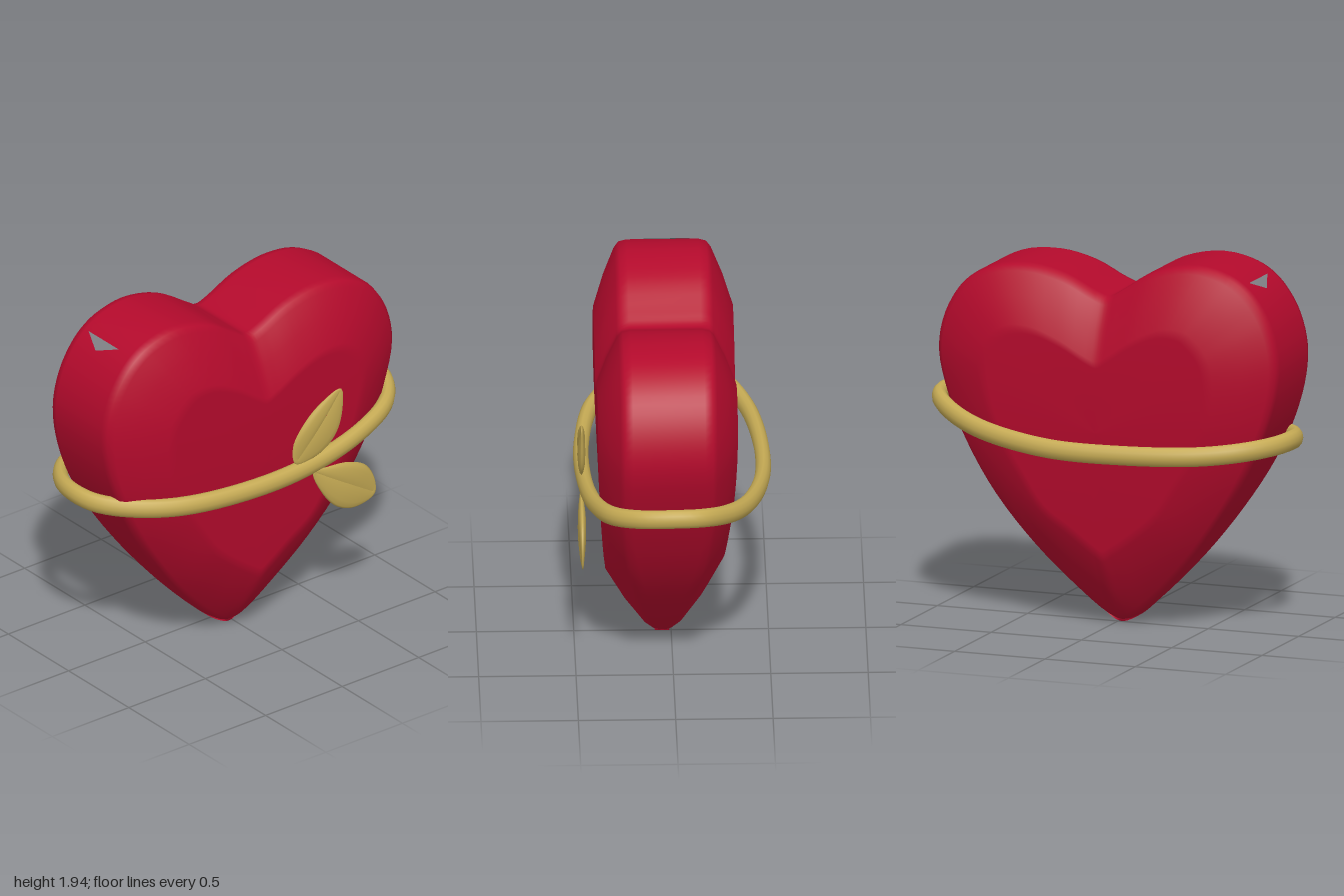
import * as THREE from 'three';

const red = new THREE.MeshStandardMaterial({ color: 0xb40a2c });
red.name = 'heart red';
const gold = new THREE.MeshStandardMaterial({ color: 0xc5aa54 });
gold.name = 'soft gold';
const grey = new THREE.MeshStandardMaterial({ color: 0x808185, side: THREE.DoubleSide });
grey.name = 'grey';

// Skins a list of closed rings, ordered front to back, counter-clockwise seen from +z
function loft(rings) {
  const n = rings[0].length, index = [];
  for (let i = 0; i < rings.length - 1; i++) {
    for (let j = 0; j < n; j++) {
      const k = (j + 1) % n;
      const a = i * n + j, b = i * n + k, c = a + n, d = b + n;
      index.push(a, c, d, a, d, b);
    }
  }
  const geo = new THREE.BufferGeometry().setFromPoints(rings.flat());
  geo.setIndex(index);
  geo.computeVertexNormals();
  return geo;
}

// Smooth closed outline through [x, y] points
function outline(points, count) {
  const pts = points.map(([x, y]) => new THREE.Vector3(x, y, 0));
  const curve = new THREE.CatmullRomCurve3(pts, true, 'centripetal');
  return Array.from({ length: count }, (_, i) => curve.getPoint(i / count));
}

function part(name, geometry, material) {
  const mesh = new THREE.Mesh(geometry, material);
  mesh.name = name;
  return mesh;
}

// Outer rim x, y and the matching point of the flat face x, y
const heartPoints = [
  [-0.015, 0.003, -0.01, 0.37], [0.06, 0.035, 0.04, 0.4], [0.21, 0.165, 0.17, 0.5],
  [0.42, 0.385, 0.32, 0.61], [0.62, 0.65, 0.44, 0.8], [0.77, 0.925, 0.55, 1.0],
  [0.865, 1.16, 0.61, 1.17], [0.92, 1.4, 0.64, 1.36], [0.885, 1.6, 0.61, 1.47],
  [0.785, 1.76, 0.54, 1.55], [0.62, 1.86, 0.46, 1.58], [0.42, 1.885, 0.35, 1.575],
  [0.22, 1.845, 0.2, 1.52], [0.05, 1.765, 0.05, 1.44], [-0.02, 1.745, -0.01, 1.42],
  [-0.1, 1.79, -0.08, 1.46], [-0.28, 1.9, -0.21, 1.55], [-0.5, 1.945, -0.38, 1.62],
  [-0.68, 1.908, -0.5, 1.61], [-0.78, 1.848, -0.54, 1.58], [-0.855, 1.765, -0.58, 1.54],
  [-0.92, 1.645, -0.62, 1.48], [-0.957, 1.49, -0.64, 1.4], [-0.95, 1.33, -0.64, 1.28],
  [-0.895, 1.12, -0.61, 1.12], [-0.785, 0.87, -0.54, 0.95], [-0.62, 0.605, -0.43, 0.77],
  [-0.42, 0.345, -0.32, 0.61], [-0.21, 0.125, -0.17, 0.48], [-0.085, 0.025, -0.06, 0.4],
];

function heartGeometry() {
  const count = heartPoints.length * 4;
  const outer = outline(heartPoints.map(p => [p[0], p[1]]), count);
  const inner = outline(heartPoints.map(p => [p[2], p[3]]), count);
  const centre = new THREE.Vector3(0, 1.05, 0);
  // Depth of the flat faces and of the rim, both slimmer towards the tip
  const face = (y, s) => {
    const t = Math.sin(Math.min(1, Math.max(0, (y - 0.37) / 1.15)) * Math.PI / 2);
    return s > 0 ? 0.34 + 0.05 * t : -0.24 - 0.09 * t;
  };
  const rim = (y, s) => {
    const t = 0.12 + 0.88 * Math.sin(Math.min(1, y / 1.15) * Math.PI / 2);
    return s > 0 ? 0.05 + 0.2 * t : 0.05 - 0.24 * t;
  };
  const cap = (scale, s) => inner.map(p => {
    const v = centre.clone().lerp(p, scale);
    v.z = face(v.y, s);
    return v;
  });
  const bevel = (k, kz, s) => inner.map((p, i) => {
    const v = p.clone().lerp(outer[i], k);
    v.z = THREE.MathUtils.lerp(face(p.y, s), rim(outer[i].y, s), kz);
    return v;
  });
  const half = s => [cap(0, s), cap(0.5, s), cap(0.93, s), bevel(0.03, 0.01, s),
    bevel(0.5, 0.39, s), bevel(0.88, 0.79, s), bevel(0.97, 0.96, s), bevel(1, 1.25, s)];
  return loft([...half(1), ...half(-1).reverse()]);
}

// Leaf with a shallow midrib, thinning towards base and tip
function leafGeometry(points, base, tip, z) {
  const edge = outline(points, 48);
  const axis = new THREE.Line3(new THREE.Vector3(...base, 0), new THREE.Vector3(...tip, 0));
  const ring = (k, dz) => edge.map(p => {
    const u = axis.closestPointToPointParameter(p, true);
    const v = axis.at(u, new THREE.Vector3()).lerp(p, k);
    v.z = z + dz * (0.25 + 0.75 * Math.sin(Math.PI * u));
    return v;
  });
  return loft([ring(0, 0.013), ring(0.3, 0.021), ring(0.7, 0.017), ring(0.92, 0.01), ring(1, 0),
    ring(0.92, -0.01), ring(0.7, -0.017), ring(0.3, -0.021), ring(0, -0.018)]);
}

// Band path: x, y, z around the heart
const bandPath = [
  [-0.96, 1.03, 0], [-0.93, 1.02, 0.13], [-0.82, 1.01, 0.265], [-0.59, 0.995, 0.395],
  [-0.2, 0.98, 0.457], [0.2, 0.985, 0.452], [0.58, 1.035, 0.402], [0.82, 1.09, 0.315],
  [0.93, 1.125, 0.18], [0.96, 1.14, 0], [0.93, 1.13, -0.14], [0.79, 1.08, -0.275],
  [0.58, 1.03, -0.38], [0.2, 0.985, -0.463], [-0.2, 0.98, -0.463], [-0.58, 0.99, -0.4],
  [-0.8, 1.01, -0.3], [-0.925, 1.025, -0.15],
];

function bandGeometry() {
  const stretch = 1.3; // the band is taller than it is deep
  const path = bandPath.map(([x, y, z]) => new THREE.Vector3(x, y / stretch, z));
  const curve = new THREE.CatmullRomCurve3(path, true);
  return new THREE.TubeGeometry(curve, 120, 0.04, 12, true).scale(1, stretch, 1);
}

export function createModel() {
  const model = new THREE.Group();
  model.name = 'wrappedHeart';
  model.add(part('heart', heartGeometry(), red));
  model.add(part('band', bandGeometry(), gold));

  const upper = [[0.2, 1.03], [0.3, 1.06], [0.38, 1.13], [0.42, 1.25], [0.41, 1.38],
    [0.27, 1.33], [0.17, 1.25], [0.1, 1.15], [0.11, 1.04]];
  const lower = [[0.23, 0.95], [0.28, 0.82], [0.38, 0.7], [0.5, 0.655], [0.63, 0.69],
    [0.63, 0.78], [0.57, 0.88], [0.45, 0.935], [0.33, 0.95]];
  model.add(part('upperLeaf', leafGeometry(upper, [0.13, 1.06], [0.4, 1.365], 0.468), gold));
  model.add(part('lowerLeaf', leafGeometry(lower, [0.25, 0.94], [0.615, 0.71], 0.468), gold));

  // Small grey chip on the right lobe
  const chip = new THREE.BufferGeometry().setFromPoints([
    new THREE.Vector3(-0.775, 1.864, 0.13),
    new THREE.Vector3(-0.775, 1.864, -0.12),
    new THREE.Vector3(-0.824, 1.817, 0),
  ]);
  chip.computeVertexNormals();
  model.add(part('chip', chip, grey));
  return model;
}
